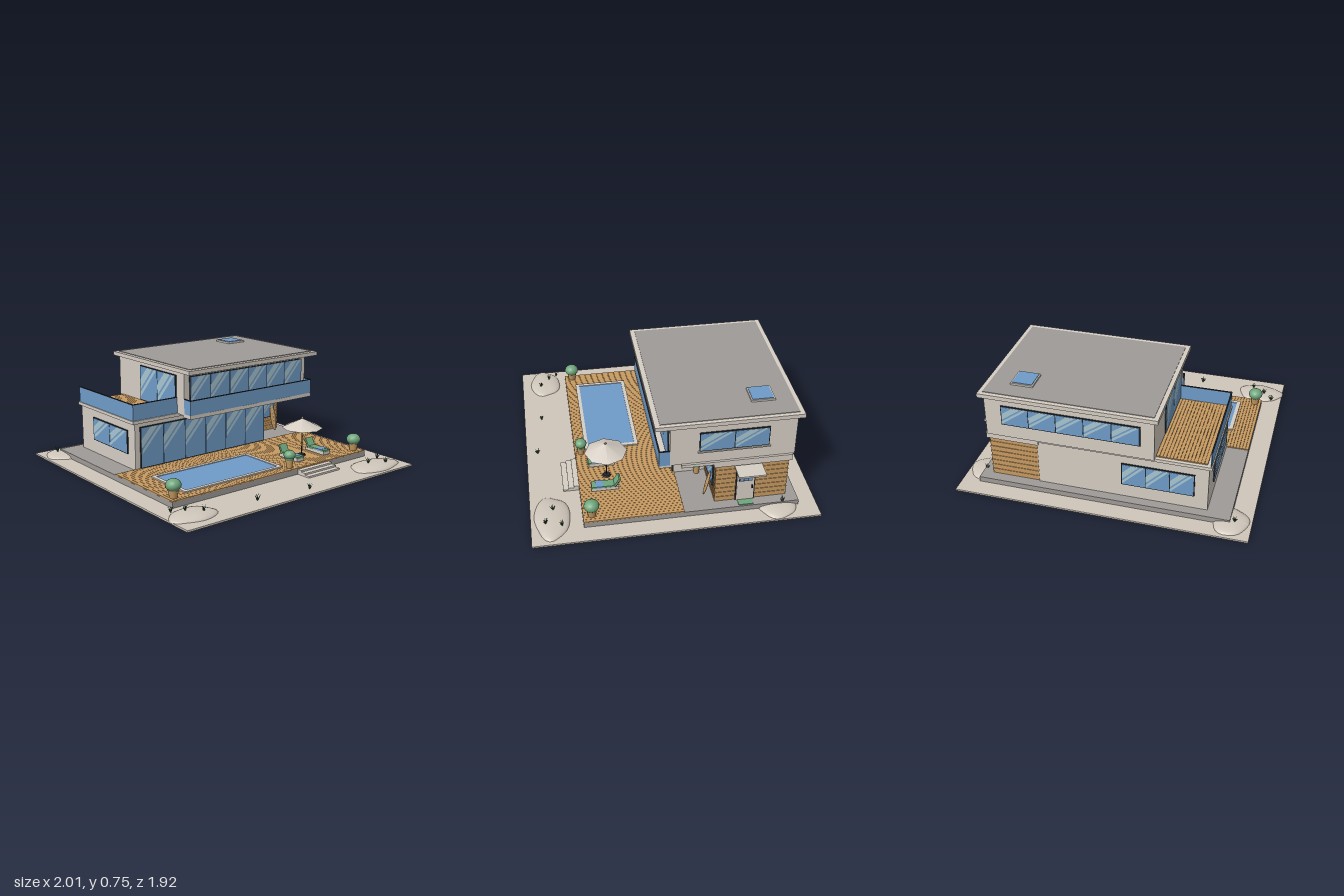
import * as THREE from 'three';
import { mergeGeometries } from 'three/addons/utils/BufferGeometryUtils.js';

const mat = (name, color, side = THREE.FrontSide) => {
  const m = new THREE.MeshStandardMaterial({ color, side });
  m.name = name;
  return m;
};

export function createModel() {
  const M = {
    wall: mat('plaster', 0xd6cec4), sand: mat('sand', 0xd0c7bb), grey: mat('concrete', 0x9f9b98),
    glass: mat('glass blue', 0x6f9cc8), streak: mat('glass reflection', 0xa9c6d0), wood: mat('wood', 0xc89b62),
    dark: mat('dark frame', 0x24282e), green: mat('leaf green', 0x6fa67c),
    grass: mat('dark green', 0x2f5a3c, THREE.DoubleSide),
  };
  const model = new THREE.Group();
  model.name = 'villa';

  const add = (name, geo, material, parent = model) => {
    const mesh = new THREE.Mesh(geo, material);
    mesh.name = name;
    parent.add(mesh);
    return mesh;
  };
  const group = (name, x = 0, y = 0, z = 0, parent = model) => {
    const g = new THREE.Group();
    g.name = name;
    g.position.set(x, y, z);
    parent.add(g);
    return g;
  };
  // box geometry from its limits on each axis
  const span = (x0, x1, y0, y1, z0, z1) =>
    new THREE.BoxGeometry(x1 - x0, y1 - y0, z1 - z0).translate((x0 + x1) / 2, (y0 + y1) / 2, (z0 + z1) / 2);
  const box = (name, m, x0, x1, y0, y1, z0, z1, parent) => add(name, span(x0, x1, y0, y1, z0, z1), m, parent);
  // rectangular rim lying flat
  const rim = (name, m, x0, x1, y0, y1, z0, z1, t) => add(name, mergeGeometries([
    span(x0, x1, y0, y1, z0, z0 + t), span(x0, x1, y0, y1, z1 - t, z1),
    span(x0, x0 + t, y0, y1, z0 + t, z1 - t), span(x1 - t, x1, y0, y1, z0 + t, z1 - t)]), m);
  // planks running along z
  const planks = (name, x0, x1, y0, y1, z0, z1, n) => {
    const p = (x1 - x0) / n, list = [];
    for (let i = 0; i < n; i++) list.push(span(x0 + i * p + 0.0008, x0 + (i + 1) * p - 0.0008, y0, y1, z0, z1));
    add(name, mergeGeometries(list), M.wood);
  };

  // window facing local +z: dark frame, panes and slanted reflections
  const windowAt = (name, x, y, z, turn, w, h, n, bar = 0.006) => {
    const g = group(name, x, y, z);
    g.rotation.y = turn;
    box('frame', M.dark, -w / 2, w / 2, -h / 2, h / 2, -0.004, 0.006, g);
    const panes = [], streaks = [], pw = (w - bar) / n - bar, ph = h - 2 * bar, s = Math.min(pw, ph);
    for (let i = 0; i < n; i++) {
      const left = -w / 2 + bar + i * (pw + bar), top = h / 2 - bar;
      panes.push(span(left, left + pw, -top, top, 0.005, 0.008));
      for (const [a, b] of [[0.42, 0.74], [0.84, 0.98]]) {
        const sh = new THREE.Shape([[a, 0], [b, 0], [0, -b], [0, -a]].map(([u, v]) =>
          new THREE.Vector2(left + u * pw, top + v * Math.min(ph, s * 1.1))));
        streaks.push(new THREE.ShapeGeometry(sh).translate(0, 0, 0.0095));
      }
    }
    add('panes', mergeGeometries(panes), M.glass, g);
    add('reflections', mergeGeometries(streaks), M.streak, g);
  };
  const RIGHT = Math.PI / 2, LEFT = -Math.PI / 2, BACK = Math.PI;

  // ground, podium and deck
  box('sandGround', M.sand, -1, 1, 0, 0.012, -0.965, 0.955);
  box('podium', M.grey, -0.86, 0.875, 0.012, 0.05, -0.84, 0.61);
  planks('deck', -0.86, 0.875, 0.05, 0.058, -0.06, 0.61, 77);
  for (let i = 0; i < 3; i++)
    box('step', M.wall, 0.2, 0.5, 0.012, 0.048 - i * 0.012, 0.61, 0.645 + i * 0.037);

  // pool
  rim('poolRim', M.wall, -0.71, 0.125, 0.05, 0.067, 0.145, 0.535, 0.027);
  box('poolWater', M.glass, -0.685, 0.1, 0.05, 0.062, 0.17, 0.51);

  // ground floor
  box('groundFloor', M.wall, -0.7, 0.46, 0.05, 0.385, -0.775, -0.055);
  box('annexCore', M.wood, 0.45, 0.795, 0.05, 0.36, -0.763, -0.28);
  const boards = [];
  for (let i = 0; i < 16; i++) {
    const y = 0.05 + i * 0.0192, e = i % 2 ? 0.002 : 0;
    boards.push(span(0.461, 0.8 + e, y, y + 0.0178, -0.767 - e, -0.276 + e));
  }
  add('annexSiding', mergeGeometries(boards), M.wood);
  box('annexSlab', M.wall, 0.45, 0.815, 0.355, 0.384, -0.785, -0.26);
  box('mainSlab', M.wall, -0.72, 0.815, 0.38, 0.403, -0.785, -0.045);
  windowAt('frontSlidingDoors', -0.1, 0.206, -0.052, 0, 1.12, 0.295, 6);
  windowAt('annexWindow', 0.635, 0.235, -0.27, 0, 0.25, 0.155, 2);
  windowAt('leftWindow', -0.702, 0.235, -0.37, LEFT, 0.46, 0.17, 2);
  windowAt('backLowerWindow', -0.365, 0.235, -0.777, BACK, 0.49, 0.17, 3);

  // entrance
  box('doorFrame', M.dark, 0.8, 0.808, 0.05, 0.31, -0.546, -0.414);
  box('door', M.wall, 0.8, 0.812, 0.05, 0.302, -0.538, -0.422);
  windowAt('doorWindow', 0.811, 0.255, -0.48, RIGHT, 0.09, 0.08, 3, 0.005);
  box('doorHandle', M.dark, 0.812, 0.82, 0.15, 0.175, -0.53, -0.523);
  box('wallLamp', M.dark, 0.8, 0.815, 0.25, 0.292, -0.573, -0.56);
  box('canopy', M.wall, 0.8, 0.925, 0.333, 0.346, -0.585, -0.4);
  box('doormat', M.green, 0.815, 0.865, 0.05, 0.055, -0.53, -0.43);

  // upper floor
  box('upperFloor', M.wall, -0.345, 0.8, 0.4, 0.71, -0.8, 0.03);
  windowAt('frontUpperWindow', 0.23, 0.547, 0.032, 0, 1.06, 0.255, 6);
  windowAt('rightUpperWindow', 0.802, 0.572, -0.39, RIGHT, 0.46, 0.145, 2);
  windowAt('backUpperWindow', 0.215, 0.572, -0.802, BACK, 0.94, 0.145, 5);
  windowAt('terraceDoors', -0.347, 0.545, -0.285, LEFT, 0.45, 0.26, 2);
  box('windowSill', M.wall, 0.8, 0.815, 0.488, 0.497, -0.63, -0.15);

  // roof and skylight
  box('roof', M.wall, -0.375, 0.828, 0.705, 0.734, -0.838, 0.132);
  box('roofTop', M.grey, -0.345, 0.8, 0.73, 0.738, -0.808, 0.098);
  box('skylightCurb', M.wall, 0.5, 0.655, 0.735, 0.75, -0.685, -0.525);
  box('skylightGlass', M.glass, 0.509, 0.646, 0.748, 0.754, -0.676, -0.534);

  // balcony and roof terrace
  box('balconyFloor', M.wall, -0.345, 0.8, 0.385, 0.412, 0.02, 0.103);
  planks('terraceDeck', -0.685, -0.347, 0.4, 0.411, -0.76, -0.065, 15);
  const rail = (name, x0, x1, z0, z1) => {
    box(name, M.glass, x0, x1, 0.403, 0.514, z0, z1);
    box(name + 'Cap', M.dark, x0 - 0.001, x1 + 0.001, 0.513, 0.519, z0 - 0.001, z1 + 0.001);
  };
  rail('balconyRailFront', -0.345, 0.8, 0.095, 0.102);
  rail('balconyRailRight', 0.793, 0.8, 0.03, 0.095);
  rail('balconyRailLeft', -0.345, -0.338, 0.03, 0.095);
  rail('terraceRailLeft', -0.713, -0.706, -0.775, -0.052);
  rail('terraceRailFront', -0.706, -0.345, -0.06, -0.053);

  // parasol
  const parasol = group('parasol', 0.425, 0.058, 0.41);
  const part = (name, geo, m, y) => { add(name, geo, m, parasol).position.y = y; };
  part('pole', new THREE.CylinderGeometry(0.004, 0.004, 0.27, 8), M.dark, 0.135);
  part('foot', new THREE.CylinderGeometry(0.025, 0.03, 0.012, 12), M.dark, 0.006);
  part('canopyTop', new THREE.ConeGeometry(0.147, 0.068, 8).toNonIndexed(), M.wall, 0.242);
  part('knob', new THREE.SphereGeometry(0.008, 8, 6), M.wood, 0.28);

  // sun loungers
  for (const x of [0.3, 0.56]) {
    const g = group('lounger', x, 0.058, 0);
    box('base', M.wall, -0.034, 0.034, 0.008, 0.03, 0.345, 0.53, g);
    box('cushion', M.green, -0.033, 0.033, 0.03, 0.042, 0.37, 0.528, g);
    box('towel', M.glass, -0.035, 0.035, 0.031, 0.044, 0.45, 0.5, g);
    const back = add('backrest', new THREE.BoxGeometry(0.066, 0.075, 0.012).translate(0, 0.035, 0), M.green, g);
    back.position.set(0, 0.03, 0.375);
    back.rotation.x = -0.55;
    box('backFrame', M.dark, -0.034, 0.034, 0, 0.071, -0.01, -0.006, back);
  }

  // surfboard leaning on the annex
  const board = group('surfboard', 0.725, 0.058, -0.215);
  board.rotation.x = -0.22;
  const body = new THREE.SphereGeometry(1, 16, 12);
  add('boardBody', body.clone().scale(0.028, 0.1, 0.006).translate(0, 0.1, 0), M.wood, board);
  add('boardStripe', body.clone().scale(0.004, 0.095, 0.0068).translate(0, 0.1, 0), M.wall, board);

  // potted shrubs
  for (const [x, y, z, r] of [[-0.815, 0.058, 0.555, 0.052], [0.16, 0.058, 0.565, 0.042],
    [0.815, 0.058, 0.55, 0.052], [0.485, 0.05, -0.215, 0.036]]) {
    const g = group('pottedShrub', x, y, z);
    add('pot', new THREE.CylinderGeometry(r * 0.68, r * 0.5, 0.055, 12).translate(0, 0.0275, 0), M.wood, g);
    add('leaves', new THREE.IcosahedronGeometry(r, 2).scale(1, 0.8, 1).translate(0, 0.125 - r * 0.8, 0), M.green, g);
    add('lowerLeaves', new THREE.IcosahedronGeometry(r * 0.8, 1).scale(1, 0.6, 1).translate(0, 0.064, 0), M.green, g);
  }

  // sand mounds with a gently uneven outline
  for (const [x, z, rx, rz, h] of [[-0.83, 0.775, 0.168, 0.115, 0.032], [0.755, 0.812, 0.208, 0.12, 0.034],
    [-0.858, -0.805, 0.12, 0.135, 0.03], [0.87, -0.695, 0.12, 0.13, 0.03]]) {
    const geo = new THREE.SphereGeometry(1, 28, 8, 0, Math.PI * 2, 0, Math.PI / 2);
    const p = geo.attributes.position;
    for (let i = 0; i < p.count; i++) {
      const a = Math.atan2(p.getZ(i), p.getX(i)), k = 1 + 0.05 * Math.sin(3 * a + x) + 0.03 * Math.sin(5 * a);
      p.setXYZ(i, p.getX(i) * rx * k, p.getY(i) * h, p.getZ(i) * rz * k);
    }
    geo.computeVertexNormals();
    add('sandMound', geo, M.sand).position.set(x, 0.01, z);
  }

  // grass tufts
  for (const [x, y, z] of [[-0.925, 0.025, 0.68], [-0.86, 0.038, 0.74], [-0.77, 0.035, 0.81], [0.705, 0.04, 0.8],
    [0.855, 0.034, 0.75], [0.825, 0.036, 0.855], [-0.89, 0.038, -0.825], [0.865, 0.038, -0.73],
    [-0.355, 0.012, 0.825], [0.055, 0.012, 0.875]]) {
    const blades = [];
    for (let i = 0; i < 7; i++)
      blades.push(new THREE.ConeGeometry(0.004, 0.045, 3).translate(0, 0.022, 0)
        .rotateZ(0.3 + 0.12 * (i % 3)).rotateY(i * 0.9 + x * 5));
    add('grassTuft', mergeGeometries(blades), M.grass).position.set(x, y, z);
  }
  return model;
}
